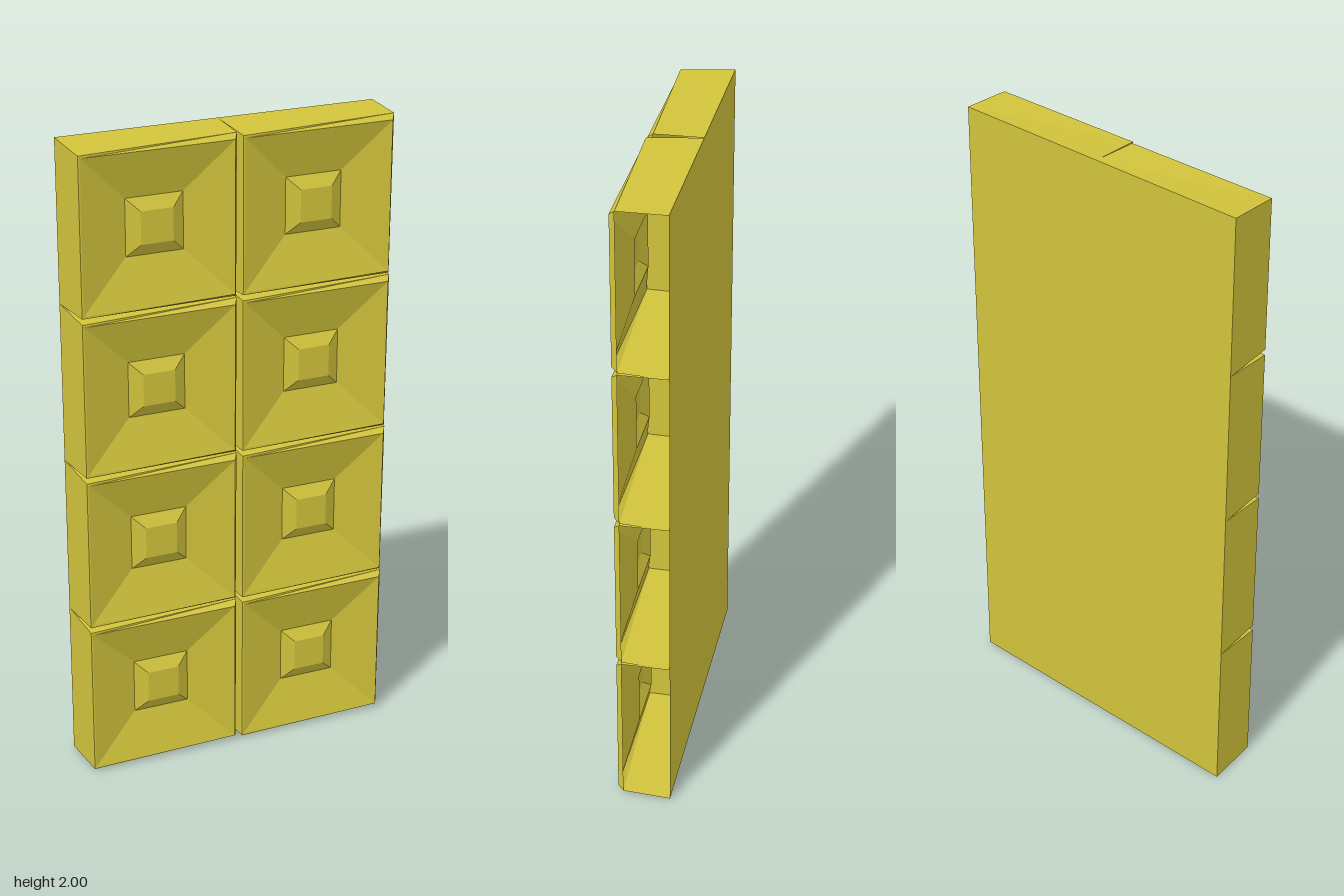
import * as THREE from 'three';

const material = new THREE.MeshStandardMaterial({ color: 0xd2c43c, flatShading: true, side: THREE.DoubleSide });

// Mesh from a list of four-cornered faces, corners counter-clockwise from outside
function quadMesh(name, quads) {
  const positions = [];
  for (const [a, b, c, d] of quads) positions.push(...a, ...b, ...c, ...a, ...c, ...d);
  const geometry = new THREE.BufferGeometry();
  geometry.setAttribute('position', new THREE.Float32BufferAttribute(positions, 3));
  geometry.computeVertexNormals();
  const mesh = new THREE.Mesh(geometry, material);
  mesh.name = name;
  return mesh;
}

// Rectangle ring, counter-clockwise from the lower left
const ring = (x0, y0, x1, y1, z) => [[x0, y0, z], [x1, y0, z], [x1, y1, z], [x0, y1, z]];

// Faces joining two rings, outer to inner
const band = (outer, inner) => outer.map((p, i) => {
  const j = (i + 1) % 4;
  return [p, outer[j], inner[j], inner[i]];
});

const FRONT = 0.083, BACK = -0.083, SIZE = 0.5;

function createBlock() {
  const block = new THREE.Group();
  block.name = 'block';
  const back = ring(0, 0, SIZE, SIZE, BACK);
  // Tapered front edge, lower on the open side
  const edge = [[0.01, 0.008, FRONT], [0.495, 0.003, 0.065], [0.497, 0.497, 0.065], [0.01, 0.49, FRONT]];
  const rim = ring(0.016, 0.015, 0.485, 0.482, FRONT);
  const dish = ring(0.16, 0.163, 0.338, 0.338, 0.046);
  const boss = ring(0.2, 0.2, 0.3, 0.3, 0.066);

  // Bottom, top and outer walls; the remaining side is open
  const walls = band(back, edge);
  block.add(quadMesh('walls', [walls[0], walls[2], walls[3]]));
  block.add(quadMesh('bevel', band(edge, rim)));
  block.add(quadMesh('dishedFace', band(rim, dish)));
  block.add(quadMesh('raisedCentre', [...band(dish, boss), boss]));
  return block;
}

export function createModel() {
  const model = new THREE.Group();
  model.name = 'segmentedBar';
  const block = createBlock();
  for (let col = 0; col < 2; col++) {
    const column = new THREE.Group();
    column.name = 'column' + (col + 1);
    column.position.x = (col - 1) * SIZE;
    for (let row = 0; row < 4; row++) {
      const copy = block.clone();
      copy.position.y = row * SIZE;
      column.add(copy);
    }
    // Flat back of the column
    column.add(quadMesh('backPanel', [ring(0, 0, SIZE, 4 * SIZE, BACK).reverse()]));
    model.add(column);
  }
  return model;
}
